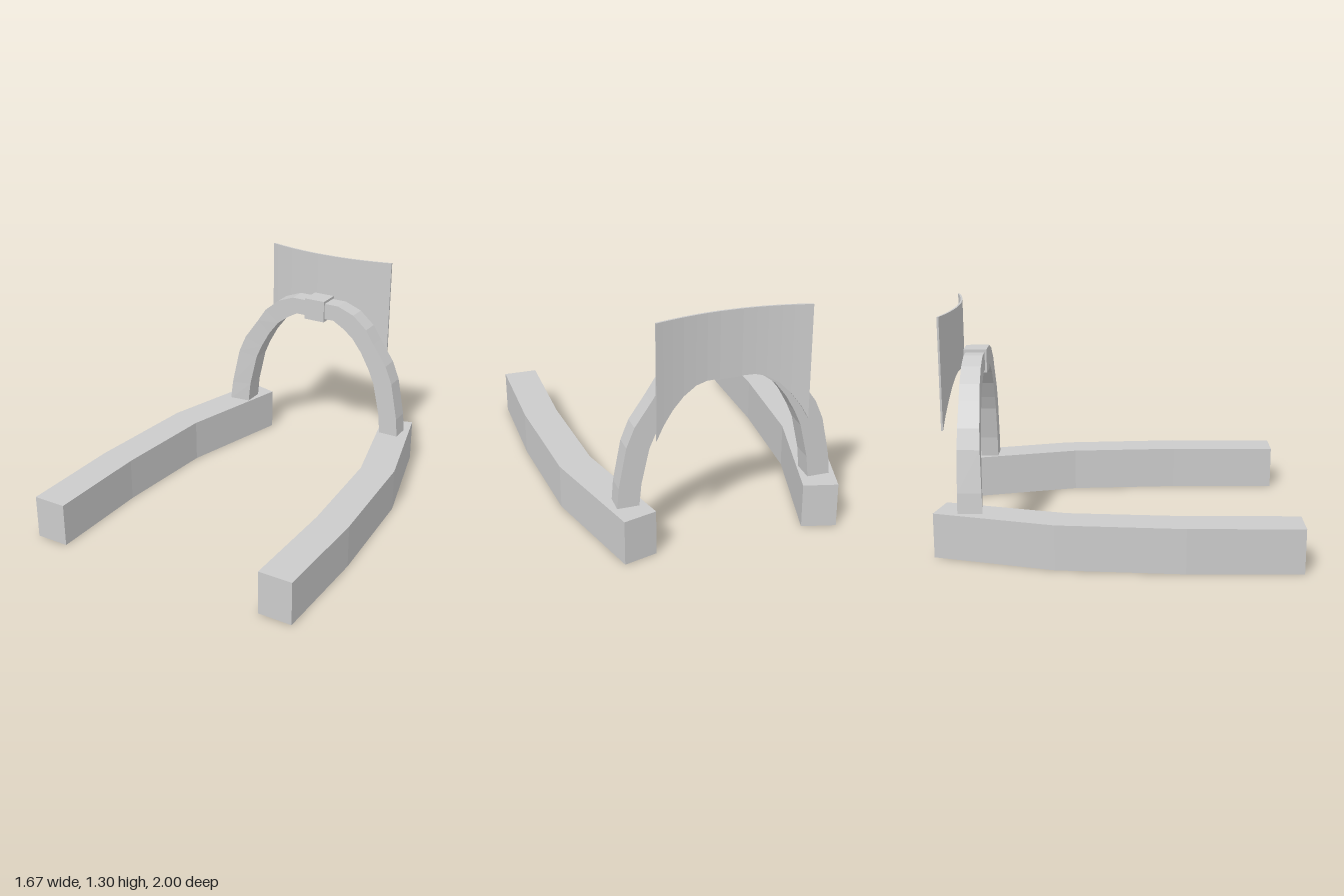
import * as THREE from 'three';

const material = new THREE.MeshStandardMaterial({ color: 0xcccccc, flatShading: true });

// Solid skin through four-cornered sections, corners counterclockwise seen from the far end
function loft(name, sections) {
  const pos = [];
  const quad = (a, b, c, d) => pos.push(...a, ...b, ...c, ...a, ...c, ...d);
  for (let s = 0; s < sections.length - 1; s++) {
    const a = sections[s], b = sections[s + 1];
    for (let i = 0; i < 4; i++) {
      const j = (i + 1) % 4;
      quad(a[i], a[j], b[j], b[i]);
    }
  }
  const first = sections[0], last = sections[sections.length - 1];
  quad(first[3], first[2], first[1], first[0]);
  quad(last[0], last[1], last[2], last[3]);
  const geometry = new THREE.BufferGeometry();
  geometry.setAttribute('position', new THREE.Float32BufferAttribute(pos, 3));
  geometry.computeVertexNormals();
  const mesh = new THREE.Mesh(geometry, material);
  mesh.name = name;
  return mesh;
}

// Floor rail, bent inwards towards the back; side is +1 or -1
function rail(name, side) {
  const h = 0.255;
  // inner x, inner z, outer x, outer z
  const plan = [
    [0.415, -0.95, 0.6, -1],
    [0.59, -0.27, 0.78, -0.33],
    [0.635, 0.37, 0.833, 0.37],
    [0.635, 1, 0.833, 1],
  ];
  return loft(name, plan.map(([xi, zi, xo, zo]) => {
    const inner = [side * xi, zi], outer = [side * xo, zo];
    const [l, r] = side > 0 ? [inner, outer] : [outer, inner];
    return [[l[0], 0, l[1]], [r[0], 0, r[1]], [r[0], h, r[1]], [l[0], h, l[1]]];
  }));
}

// Arch standing on the rails, its -x foot slightly deeper towards the front
function arch() {
  // outer x, outer y, inner x, inner y
  const half = [
    [0.6, 0.25, 0.48, 0.25],
    [0.59, 0.37, 0.467, 0.38],
    [0.545, 0.6, 0.422, 0.58],
    [0.5, 0.71, 0.385, 0.665],
    [0.41, 0.84, 0.33, 0.765],
    [0.357, 0.922, 0.265, 0.85],
    [0.265, 1.0, 0.2, 0.9],
    [0.16, 1.04, 0.13, 0.94],
  ];
  const left = half.map(([a, b, c, d]) => [-a, b, -c, d]);
  const back = -0.865;
  return loft('arch', [...left, ...[...half].reverse()].map(([xo, yo, xi, yi]) => {
    const t = xo < 0 ? (1.04 - yo) / 0.79 : 0;
    const zo = -0.757 + 0.03 * t, zi = -0.757 + 0.015 * t;
    const x = xo - 0.008 * t;
    return [[xi, yi, back], [x, yo, back], [x, yo, zo], [xi, yi, zi]];
  }));
}

// Thin curved back panel whose lower edge follows the arch
function backPanel() {
  const half = [[0.415, 0.67], [0.375, 0.745], [0.32, 0.82], [0.26, 0.88],
    [0.19, 0.925], [0.13, 0.94], [0.06, 0.94]];
  const left = half.map(([x, y]) => [-x, y]);
  const top = 1.305, thick = 0.011;
  return loft('backPanel', [...left, ...[...half].reverse()].map(([x, y]) => {
    const z = -0.897 - 0.34 * x * x;
    return [[x, y, z - thick], [x, top, z - thick], [x, top, z], [x, y, z]];
  }));
}

export function createModel() {
  const model = new THREE.Group();
  model.name = 'archedFrame';
  model.add(rail('leftRail', 1), rail('rightRail', -1), arch(), backPanel());

  // Block clasping the crown of the arch
  const block = new THREE.Mesh(new THREE.BoxGeometry(0.134, 0.135, 0.132), material);
  block.name = 'crownBlock';
  block.position.set(0, 0.988, -0.812);
  model.add(block);
  return model;
}
